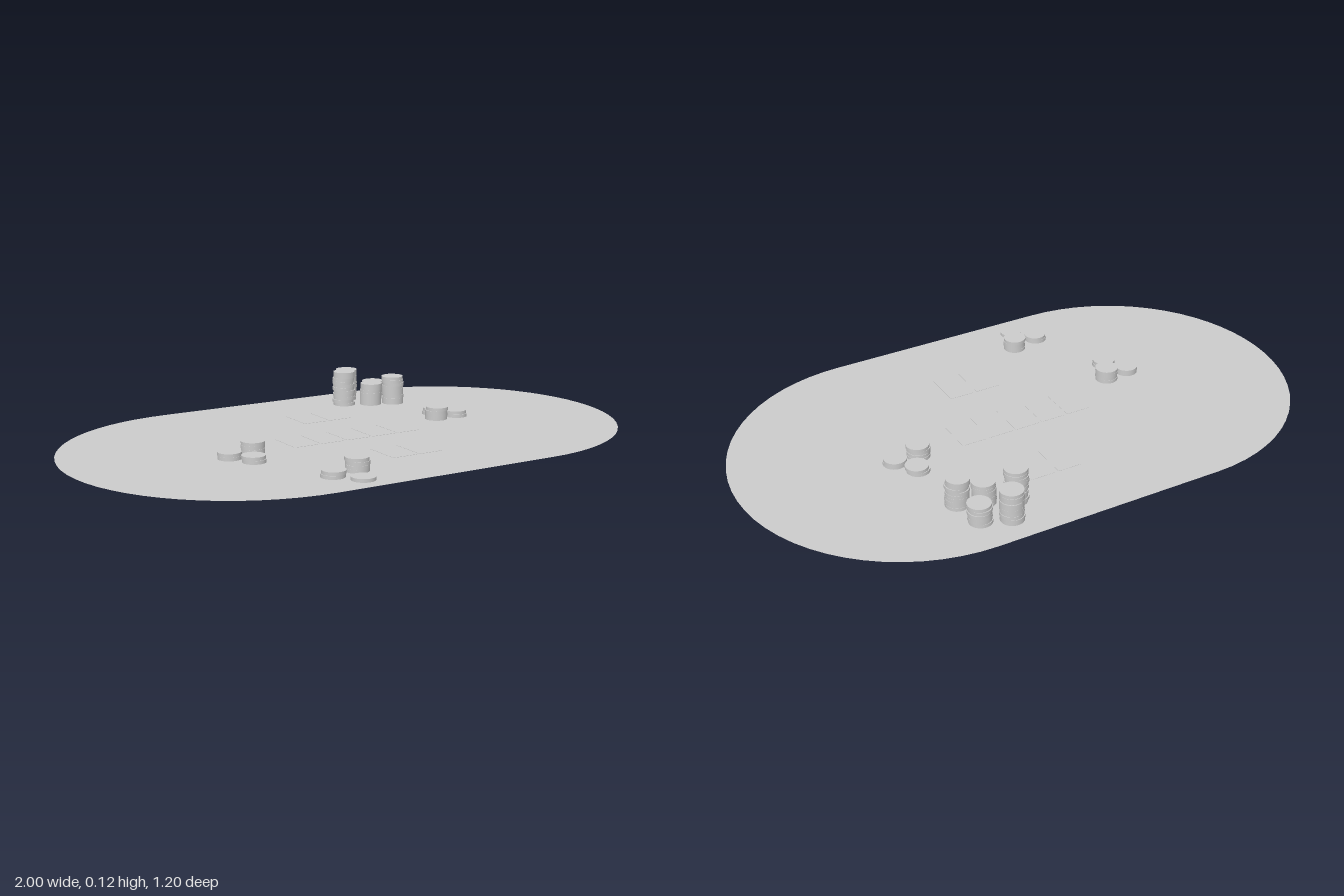
import * as THREE from 'three';

const material = new THREE.MeshStandardMaterial({ color: 0xcccccc });
const feltMaterial = new THREE.MeshStandardMaterial({ color: 0xcccccc, side: THREE.DoubleSide });

// Rectangle with round corners, centred on the origin
function roundedRect(w, h, r) {
  const s = new THREE.Shape();
  const x = w / 2 - r, y = h / 2 - r;
  s.absarc(x, y, r, 0, Math.PI / 2);
  s.absarc(-x, y, r, Math.PI / 2, Math.PI);
  s.absarc(-x, -y, r, Math.PI, Math.PI * 1.5);
  s.absarc(x, -y, r, Math.PI * 1.5, Math.PI * 2);
  s.closePath();
  return s;
}

// Small seeded generator for the uneven stacking
let seed = 7;
function jitter(amount) {
  seed = (seed * 16807) % 2147483647;
  return (seed / 2147483647 - 0.5) * 2 * amount;
}

const CHIP_RADIUS = 0.039;
const CHIP_HEIGHT = 0.0113;

// x, z and number of chips
const STACKS = [
  [0.30, -0.50, 10], [0.24, -0.42, 11], [0.39, -0.46, 6], [0.33, -0.375, 7], [0.41, -0.35, 9],
  [0.435, -0.12, 2], [0.395, -0.045, 4], [0.48, -0.05, 2],
  [-0.485, 0.08, 2], [-0.40, 0.07, 4], [-0.44, 0.155, 2],
  [-0.32, 0.437, 2], [-0.22, 0.415, 4], [-0.26, 0.515, 1],
];

export function createModel() {
  const model = new THREE.Group();

  // Flat table surface with semicircular ends
  const felt = new THREE.Mesh(new THREE.ShapeGeometry(roundedRect(2, 1.2, 0.6), 8), feltMaterial);
  felt.name = 'tableSurface';
  felt.rotation.x = -Math.PI / 2;
  model.add(felt);

  // Chip stacks, each chip slightly off centre
  const chipGeometry = new THREE.CylinderGeometry(CHIP_RADIUS, CHIP_RADIUS, CHIP_HEIGHT, 32);
  const chips = new THREE.Group();
  chips.name = 'chipStacks';
  for (const [x, z, count] of STACKS) {
    const stack = new THREE.Group();
    stack.name = 'chipStack';
    stack.position.set(x, 0, z);
    for (let i = 0; i < count; i++) {
      const chip = new THREE.Mesh(chipGeometry, material);
      chip.name = 'chip';
      chip.position.set(jitter(0.0025), (i + 0.5) * CHIP_HEIGHT, jitter(0.0025));
      stack.add(chip);
    }
    chips.add(stack);
  }
  model.add(chips);

  // Thin cards: a row of five in the middle and a pair on either side
  const cardGeometry = new THREE.ExtrudeGeometry(roundedRect(0.09, 0.14, 0.006), {
    depth: 0.001, bevelEnabled: false, curveSegments: 4,
  });
  cardGeometry.rotateX(-Math.PI / 2);
  const cards = new THREE.Group();
  cards.name = 'cards';
  function addRow(count, centreX, z) {
    for (let i = 0; i < count; i++) {
      const card = new THREE.Mesh(cardGeometry, material);
      card.name = 'card';
      card.position.set(centreX + (i - (count - 1) / 2) * 0.1, 0.001, z);
      cards.add(card);
    }
  }
  addRow(5, 0, 0);
  addRow(2, 0.05, 0.28);
  addRow(2, 0.05, -0.28);
  model.add(cards);

  return model;
}
